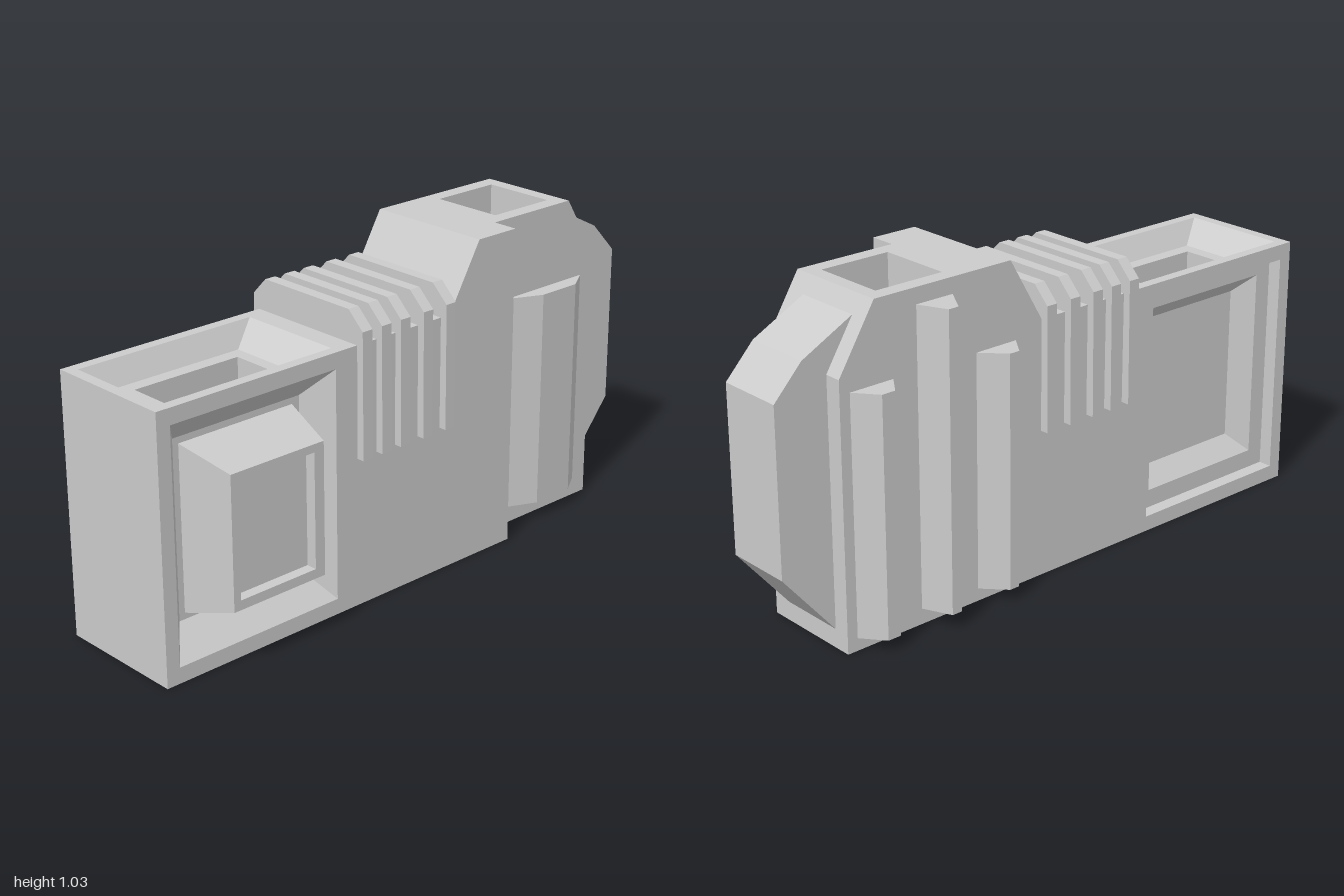
import * as THREE from 'three';

const V = (x, y, z) => new THREE.Vector3(x, y, z);
const grey = new THREE.MeshStandardMaterial({ color: 0xcccccc, flatShading: true });

// Local frames: u and v lie in the face, w points outward
const frame = (u, v, w) => new THREE.Matrix4().makeBasis(u, v, w);
const RIGHT = frame(V(0, 0, -1), V(0, 1, 0), V(1, 0, 0));
const LEFT = frame(V(0, 0, 1), V(0, 1, 0), V(-1, 0, 0));
const TOP = frame(V(1, 0, 0), V(0, 0, -1), V(0, 1, 0));
const BOTTOM = frame(V(1, 0, 0), V(0, 0, 1), V(0, -1, 0));

function mesh(group, name, geometry) {
  const m = new THREE.Mesh(geometry, grey);
  m.name = name;
  group.add(m);
  return m;
}

// Four-cornered faces, corners counter-clockwise from outside
function quads(list) {
  const pts = list.flatMap(([a, b, c, d]) => [a, b, c, a, c, d]);
  const g = new THREE.BufferGeometry().setFromPoints(pts);
  g.computeVertexNormals();
  return g;
}

const corners = ([u0, v0, u1, v1]) => [[u0, v0], [u1, v0], [u1, v1], [u0, v1]];
const toVec2 = (pts) => pts.map(([a, b]) => new THREE.Vector2(a, b));

// Flat panel at height w, with an optional rectangular hole
function panel(matrix, outline, w, hole) {
  const shape = new THREE.Shape(toVec2(outline));
  if (hole) shape.holes.push(new THREE.Path(toVec2(corners(hole))));
  return new THREE.ShapeGeometry(shape).translate(0, 0, w).applyMatrix4(matrix);
}

// Stepped rectangles [u0, v0, u1, v1, w] joined by walls; the last one is closed
function steps(matrix, rects) {
  const loops = rects.map((r) => corners(r).map(([u, v]) => V(u, v, r[4])));
  const faces = [loops[loops.length - 1]];
  for (let i = 0; i + 1 < loops.length; i++)
    for (let k = 0; k < 4; k++) {
      const n = (k + 1) % 4;
      faces.push([loops[i][k], loops[i][n], loops[i + 1][n], loops[i + 1][k]]);
    }
  return quads(faces).applyMatrix4(matrix);
}

// Band across x between two [z, y] points
const band = (x0, x1, [za, ya], [zb, yb]) =>
  [V(x0, ya, za), V(x1, ya, za), V(x1, yb, zb), V(x0, yb, zb)];

// Solid prism from an outline
function prism(outline, depth) {
  return new THREE.ExtrudeGeometry(new THREE.Shape(toVec2(outline)), { depth, bevelEnabled: false });
}

export function createModel() {
  const model = new THREE.Group();
  const xL = -0.21, xR = 0.215, xStep = 0.13, zStep = -0.365;
  const yFront = 0.825, yTop = 1.03;

  // Main housing
  const body = new THREE.Group();
  body.name = 'housing';
  model.add(body);
  const sideHole = [-0.955, 0.05, -0.365, 0.775];
  const leftHole = [0.365, 0.05, 0.955, 0.775];
  const topHole = [-0.175, -0.965, 0.18, -0.35];
  const rearHole = [-0.16, 0.42, 0.08, 0.655];

  mesh(body, 'rightWall', panel(RIGHT,
    [[-1, 0], [-zStep, 0], [-zStep, yTop], [0.21, yTop], [0.09, yFront], [-1, yFront]], xR, sideHole));
  mesh(body, 'rightRearWall', panel(RIGHT,
    [[-zStep, 0], [0.825, 0], [0.825, 0.83], [0.7, yTop], [-zStep, yTop]], xStep));
  mesh(body, 'leftWall', panel(LEFT,
    [[-0.825, 0], [1, 0], [1, yFront], [-0.09, yFront], [-0.21, yTop], [-0.7, yTop], [-0.825, 0.83]], -xL, leftHole));
  mesh(body, 'frontDeck', panel(TOP, corners([xL, -1, xR, 0.09]), yFront, topHole));
  mesh(body, 'rearDeck', panel(TOP,
    [[xL, 0.21], [xR, 0.21], [xR, -zStep], [xStep, -zStep], [xStep, 0.7], [xL, 0.7]], yTop, rearHole));
  mesh(body, 'base', panel(BOTTOM,
    [[xL, 1], [xR, 1], [xR, zStep], [xStep, zStep], [xStep, -0.825], [xL, -0.825]], 0));
  mesh(body, 'endWalls', quads([
    band(xL, xR, [1, 0], [1, yFront]),
    band(xL, xR, [-0.09, yFront], [-0.21, yTop]),
    band(xL, xStep, [-0.7, yTop], [-0.825, 0.83]),
    band(xL, xStep, [-0.825, 0.83], [-0.825, 0]),
    band(xStep, xR, [zStep, yTop], [zStep, 0]),
  ]));

  // Recesses sunk into the housing
  mesh(body, 'topRecess', steps(TOP, [
    [...topHole, yFront], [-0.135, -0.885, 0.135, -0.43, 0.755]].concat([
    [-0.09, -0.84, 0.09, -0.47, 0.755], [-0.09, -0.84, 0.09, -0.47, 0.6]])));
  mesh(body, 'rearRecess', steps(TOP, [
    [...rearHole, yTop], [...rearHole, 0.92],
    [-0.12, 0.465, 0.035, 0.61, 0.92], [-0.12, 0.465, 0.035, 0.61, 0.84]]));
  mesh(body, 'leftRecess', steps(LEFT, [
    [...leftHole, -xL], [...leftHole, 0.165],
    [0.42, 0.11, 0.895, 0.725, 0.165], [0.475, 0.17, 0.835, 0.67, 0.11]]));
  mesh(body, 'rightRecess', steps(RIGHT, [
    [...sideHole, xR], [-0.885, 0.135, -0.43, 0.69, 0.13]]));

  // Raised block inside the right recess
  mesh(model, 'sideBlock', steps(RIGHT, [
    [-0.865, 0.155, -0.457, 0.67, 0.13], [-0.825, 0.205, -0.49, 0.62, 0.3],
    [-0.8, 0.235, -0.525, 0.595, 0.3], [-0.8, 0.235, -0.525, 0.595, 0.265]]));

  // Clamp ribs wrapped over the housing
  const ribOutline = [[-0.238, 0.475], [0.24, 0.475], [0.238, 0.87], [0.18, 0.925], [-0.18, 0.925], [-0.234, 0.87]];
  for (const z of [0.245, 0.17, 0.095, 0.003, -0.09])
    mesh(model, 'rib', prism(ribOutline, 0.038).translate(0, 0, z));

  // Upright ridges on the left wall: z of base and tip, tip x, bottom and top
  for (const [b0, t0, t1, b1, tip, y0, y1] of [
    [-0.79, -0.735, -0.69, -0.64, -0.28, 0.04, 0.785],
    [-0.555, -0.515, -0.48, -0.425, -0.3, 0.05, 0.98],
    [-0.34, -0.275, -0.24, -0.19, -0.28, 0.04, 0.785],
  ])
    mesh(model, 'leftRidge', prism([[xL, -b0], [tip, -t0], [tip, -t1], [xL, -b1]], y1 - y0)
      .translate(0, 0, y0).applyMatrix4(TOP));

  // Bevelled grip on the stepped right wall
  mesh(model, 'rightGrip', prism([[0.12, 0.43], [xStep, 0.43], [0.18, 0.54], [0.18, 0.69], [xStep, 0.768], [0.12, 0.768]], 0.71)
    .translate(0, 0, 0.06).applyMatrix4(TOP));

  // Rear cap
  mesh(model, 'rearCap', prism([[0.72, 0.06], [0.825, 0.06], [1, 0.27], [1, 0.79], [0.905, 0.89], [0.73, 0.98], [0.72, 0.98]], 0.22)
    .translate(0, 0, -0.155).applyMatrix4(RIGHT));

  return model;
}
